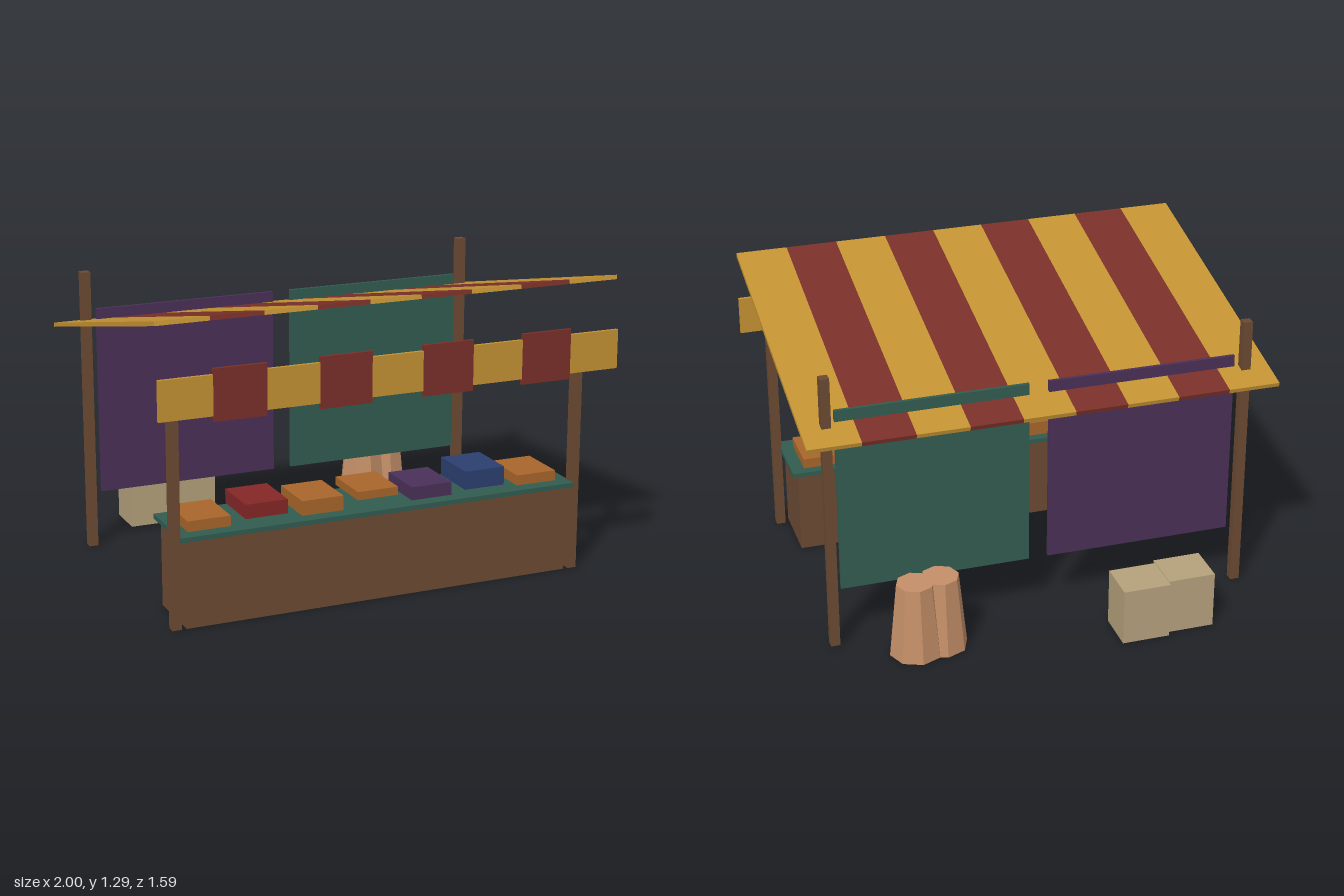
import * as THREE from 'three';

const COLORS = {
  wood: 0x6b4a32, yellow: 0xc49233, red: 0x7a3029, green: 0x325c50, purple: 0x4b3058,
  orange: 0xa8662a, crimson: 0x852727, blue: 0x2b3f70, sack: 0xb5a17c, timber: 0xc48f68,
};
const materials = {};
for (const key in COLORS) {
  materials[key] = new THREE.MeshStandardMaterial({ color: COLORS[key], flatShading: true });
}

// Box given by its [min, max] extents on each axis
function box(parent, name, color, [x0, x1], [y0, y1], [z0, z1]) {
  const mesh = new THREE.Mesh(new THREE.BoxGeometry(x1 - x0, y1 - y0, z1 - z0), materials[color]);
  mesh.position.set((x0 + x1) / 2, (y0 + y1) / 2, (z0 + z1) / 2);
  mesh.name = name;
  parent.add(mesh);
  return mesh;
}

export function createModel() {
  const stall = new THREE.Group();
  stall.name = 'marketStall';

  // Posts: short in front, tall at the back
  for (const s of [-1, 1]) {
    const side = s > 0 ? 'Left' : 'Right';
    const x = [s * 0.895 - 0.02, s * 0.895 + 0.02];
    box(stall, 'frontPost' + side, 'wood', x, [0, 0.985], [0.624, 0.663]);
    box(stall, 'backPost' + side, 'wood', x, [0, 1.23], [-0.451, -0.412]);
  }

  // Counter
  box(stall, 'counterBody', 'wood', [-0.855, 0.855], [0, 0.37], [0.376, 0.662]);
  box(stall, 'counterTop', 'green', [-0.88, 0.88], [0.37, 0.39], [0.357, 0.683]);

  // Goods: colour, bottom, top
  const goods = [
    ['orange', 0.39, 0.434], ['crimson', 0.41, 0.47], ['orange', 0.39, 0.452], ['orange', 0.423, 0.458],
    ['purple', 0.39, 0.446], ['blue', 0.403, 0.482], ['orange', 0.39, 0.434],
  ];
  goods.forEach(([color, y0, y1], i) => {
    const x = -0.738 + i * 0.245;
    box(stall, 'goods' + (i + 1), color, [x - 0.091, x + 0.091], [y0, y1], [0.398, 0.622]);
  });

  // Striped sloping canopy and the valance hanging in front of it
  const canopy = new THREE.Group();
  canopy.name = 'canopy';
  canopy.position.set(0, 1.132, 0.105);
  canopy.rotation.x = -0.226;
  stall.add(canopy);
  const valance = new THREE.Group();
  valance.name = 'valance';
  stall.add(valance);
  const stripes = 9, w = 2 / stripes;
  for (let i = 0; i < stripes; i++) {
    const odd = i % 2 === 1;
    const color = odd ? 'red' : 'yellow';
    const x = [-1 + i * w, -1 + (i + 1) * w];
    box(canopy, 'canopyStripe' + (i + 1), color, x, [-0.009, 0.009], [-0.68, 0.68]);
    box(valance, 'valanceFlap' + (i + 1), color, x, odd ? [0.882, 1.093] : [0.905, 1.069], [0.778, 0.793]);
  }

  // Rear curtains
  box(stall, 'curtainRight', 'purple', [-0.855, -0.042], [0.25, 1.07], [-0.418, -0.403]);
  box(stall, 'curtainLeft', 'green', [0.042, 0.855], [0.25, 1.07], [-0.418, -0.403]);

  // Tapered eight-sided bundles behind the stall
  [[0.473, -0.565], [0.585, -0.587]].forEach(([x, z], i) => {
    const bundle = new THREE.Mesh(new THREE.CylinderGeometry(0.08, 0.113, 0.33, 8), materials.timber);
    bundle.position.set(x, 0.165, z);
    bundle.name = 'bundle' + (i + 1);
    stall.add(bundle);
  });

  // Crates behind the stall
  box(stall, 'crate1', 'sack', [-0.661, -0.457], [0, 0.247], [-0.768, -0.585]);
  box(stall, 'crate2', 'sack', [-0.455, -0.25], [0, 0.247], [-0.793, -0.608]);

  return stall;
}
